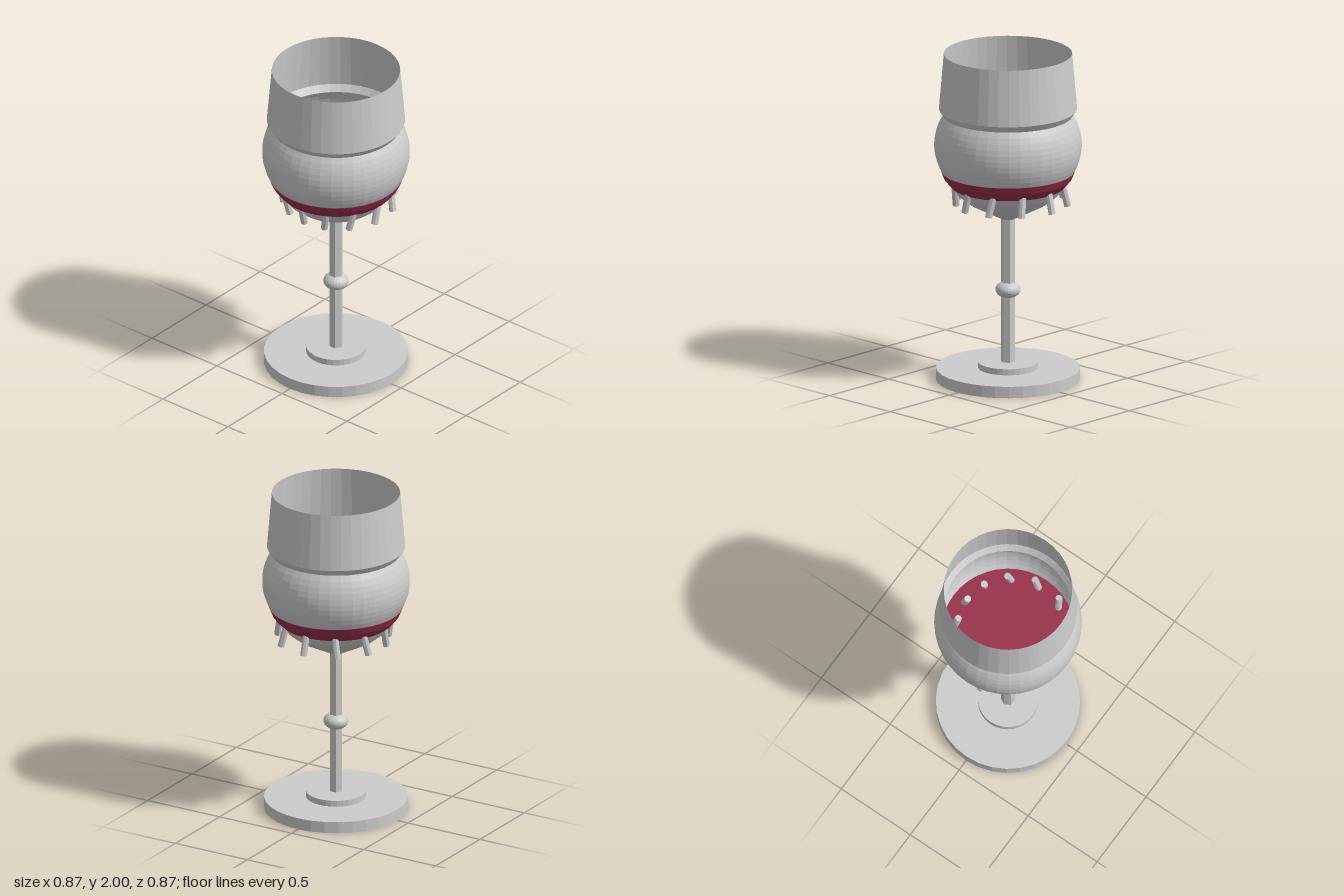
import * as THREE from 'three';

const V = (x, y) => new THREE.Vector2(x, y);

export function createModel() {
  const group = new THREE.Group();
  const glass = new THREE.MeshStandardMaterial({ color: 0xcccccc, flatShading: true, side: THREE.DoubleSide });
  glass.name = 'pale grey';
  const wine = new THREE.MeshStandardMaterial({ color: 0x962d49, flatShading: true, side: THREE.DoubleSide });
  wine.name = 'wine red';

  const add = (name, geometry, material, x = 0, y = 0, z = 0) => {
    const mesh = new THREE.Mesh(geometry, material);
    mesh.name = name;
    mesh.position.set(x, y, z);
    group.add(mesh);
    return mesh;
  };

  // Stepped foot
  add('foot', new THREE.CylinderGeometry(0.427, 0.427, 0.07, 32), glass, 0, 0.035, 0);
  add('footStep', new THREE.CylinderGeometry(0.178, 0.178, 0.037, 32), glass, 0, 0.0885, 0);

  // Hexagonal stem with a flattened knot
  add('stem', new THREE.CylinderGeometry(0.042, 0.042, 0.9, 6), glass, 0, 0.55, 0);
  add('stemKnot', new THREE.SphereGeometry(0.075, 24, 16).scale(1, 0.68, 1), glass, 0, 0.55, 0);

  // Bowl: cone bottom, round belly
  const belly = [V(0, 0.985), V(0.04, 0.985), V(0.23, 1.085), V(0.3, 1.14), V(0.335, 1.19), V(0.366, 1.235)];
  for (let i = 0; i <= 10; i++) {
    const y = 1.28 + 0.034 * i;
    belly.push(V(0.437 * Math.sqrt(1 - ((y - 1.44) / 0.367) ** 2), y));
  }
  add('bowl', new THREE.LatheGeometry(belly, 40), glass);

  // Open collar narrowing to the rim
  add('collar', new THREE.LatheGeometry([V(0.381, 1.62), V(0.409, 1.66), V(0.38, 2)], 40), glass);

  // Wine with a flat surface, showing as a band round the bowl
  add('wine', new THREE.LatheGeometry(
    [V(0.3, 1.165), V(0.34, 1.19), V(0.378, 1.235), V(0.397, 1.28), V(0, 1.28)], 40), wine);

  // Ring of tilted pegs through the lower bowl; the tilt turns twice per lap
  for (let i = 0; i < 12; i++) {
    const a = (i * Math.PI) / 6;
    const lean = Math.PI + 2 * a;
    const peg = add('peg', new THREE.CylinderGeometry(0.021, 0.021, 0.305, 8), glass,
      0.328 * Math.cos(a), 1.23, 0.328 * Math.sin(a));
    const direction = new THREE.Vector3(0.25 * Math.cos(lean), 1, 0.25 * Math.sin(lean)).normalize();
    peg.quaternion.setFromUnitVectors(new THREE.Vector3(0, 1, 0), direction);
  }

  return group;
}
